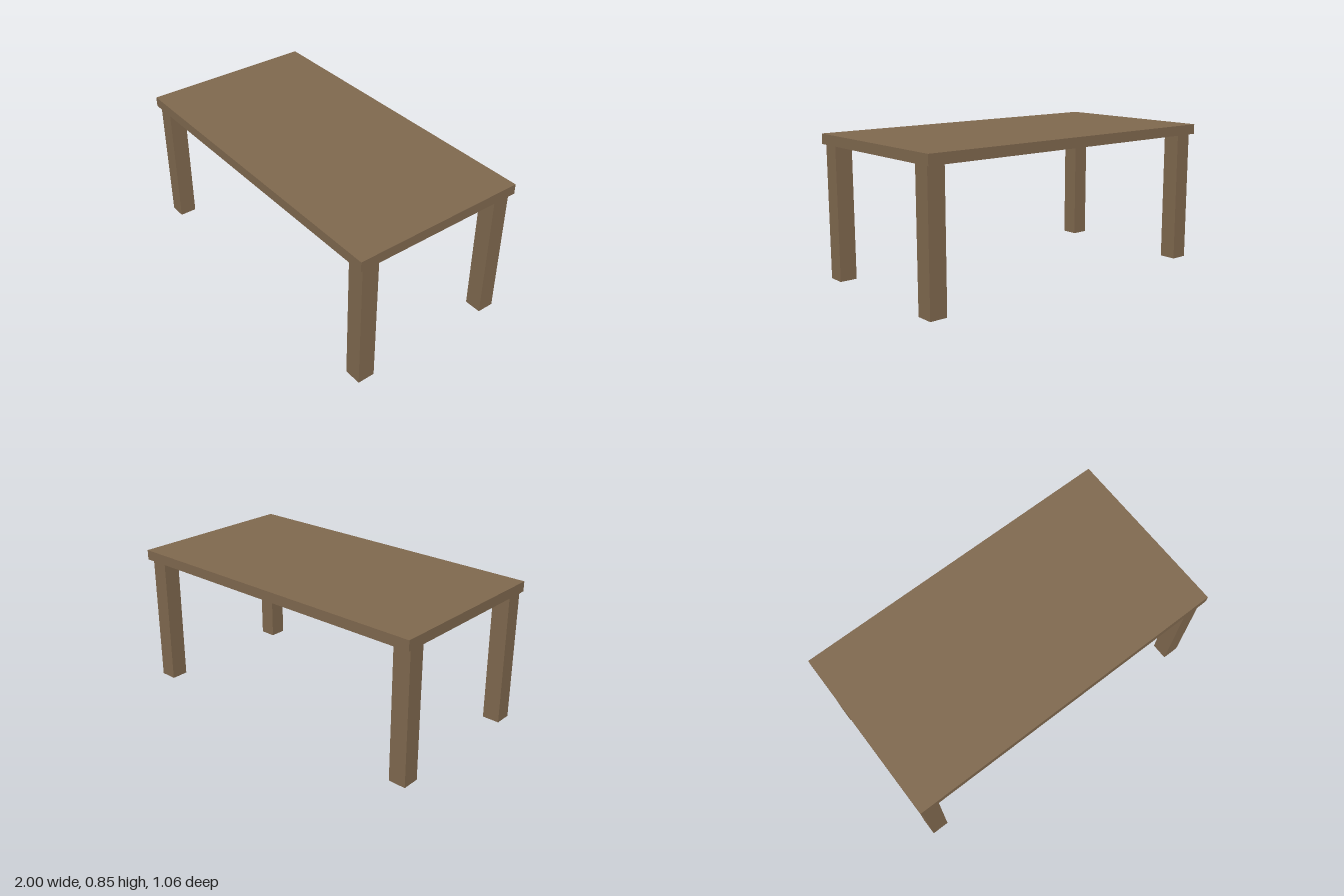
import * as THREE from 'three';

export function createModel() {
  const table = new THREE.Group();
  table.name = 'table';
  const wood = new THREE.MeshStandardMaterial({ color: 0x7f684e });

  const addBox = (name, w, h, d, x, y, z) => {
    const mesh = new THREE.Mesh(new THREE.BoxGeometry(w, h, d), wood);
    mesh.name = name;
    mesh.position.set(x, y, z);
    table.add(mesh);
  };

  const height = 0.851, topThickness = 0.06, legWidth = 0.104;
  const legHeight = height - topThickness;

  // Flat slab top
  addBox('tableTop', 2, topThickness, 1.062, 0, height - topThickness / 2, 0);

  // Four square legs, set slightly in from the corners
  for (const [side, x] of [['Left', 0.934], ['Right', -0.936]]) {
    for (const [end, z] of [['front', 0.457], ['back', -0.448]]) {
      addBox(`${end}${side}Leg`, legWidth, legHeight, legWidth, x, legHeight / 2, z);
    }
  }
  return table;
}
